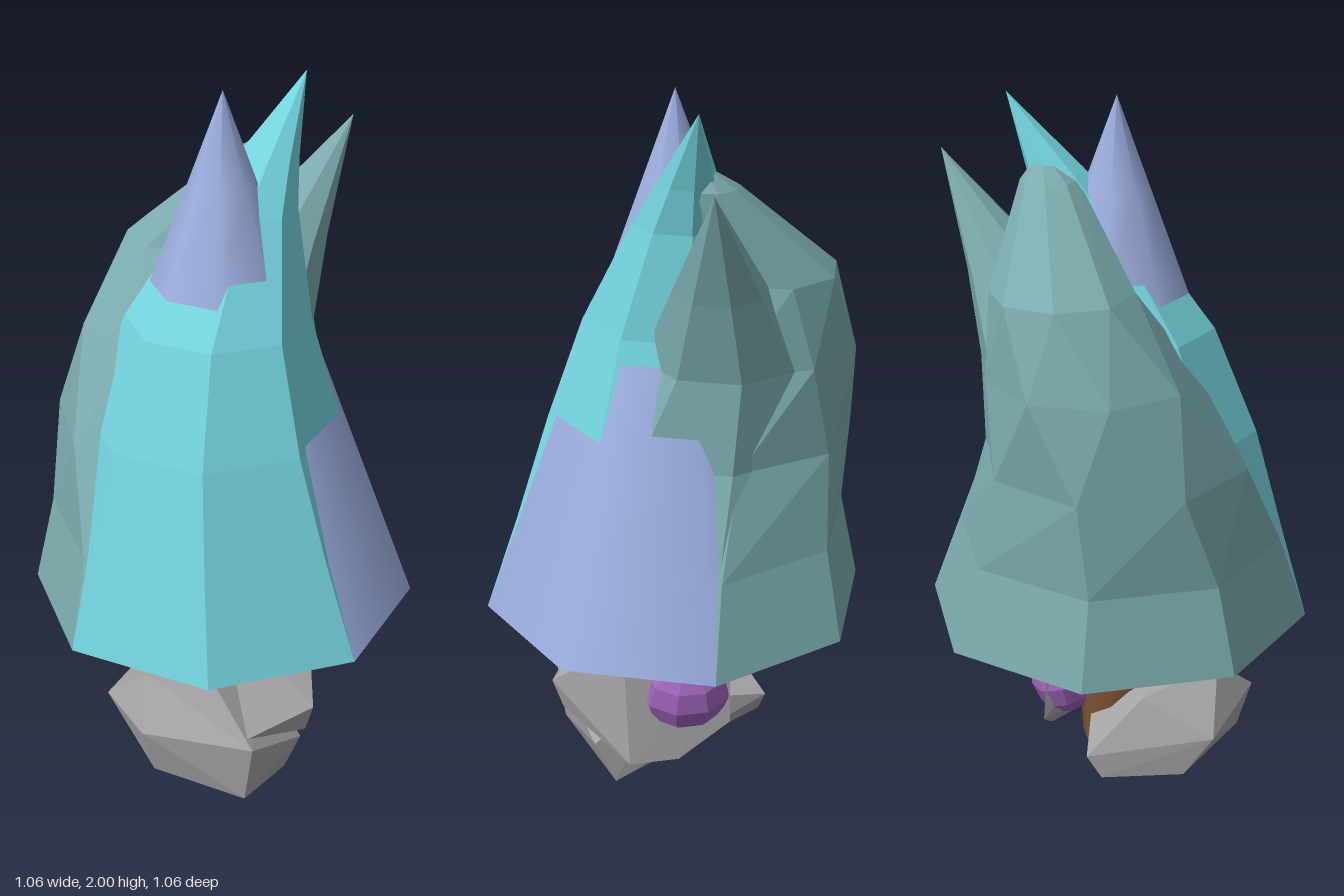
import * as THREE from 'three';
import { ConvexGeometry } from 'three/addons/geometries/ConvexGeometry.js';

const SIDES = 8;

const material = (name, color) => {
  const m = new THREE.MeshStandardMaterial({ color });
  m.name = name;
  return m;
};

// Faceted cone lofted through octagonal rings [y, radius, centreX, centreZ, twistDegrees]
function bentCone(rings, apex) {
  const pos = [];
  const tri = (...pts) => pts.forEach((p) => pos.push(...p));
  const corner = ([y, r, cx, cz, twist = 0], i) => {
    const a = (i / SIDES) * Math.PI * 2 + THREE.MathUtils.degToRad(twist);
    return [cx + r * Math.cos(a), y, cz + r * Math.sin(a)];
  };
  for (let i = 0; i < SIDES; i++) {
    for (let k = 0; k < rings.length - 1; k++) {
      const a = corner(rings[k], i), b = corner(rings[k], i + 1);
      const c = corner(rings[k + 1], i), d = corner(rings[k + 1], i + 1);
      tri(a, c, b);
      tri(b, c, d);
    }
    const top = rings[rings.length - 1];
    tri(corner(top, i), apex, corner(top, i + 1));
  }
  const g = new THREE.BufferGeometry();
  g.setAttribute('position', new THREE.Float32BufferAttribute(pos, 3));
  g.computeVertexNormals();
  return g;
}

const hull = (pts) => new ConvexGeometry(pts.map((p) => new THREE.Vector3(...p)));

export function createModel() {
  const group = new THREE.Group();
  group.name = 'stylisedTree';

  const lavender = material('lavender', 0x9dafe0);
  const cyan = material('cyan', 0x74d4de);
  const teal = material('greyTeal', 0x7cacae);
  const stone = material('stone', 0xa6a6a6);
  const violet = material('violet', 0x9c64b8);
  const bark = material('bark', 0x7d5433);

  const add = (name, geometry, mat) => {
    const mesh = new THREE.Mesh(geometry, mat);
    mesh.name = name;
    group.add(mesh);
    return mesh;
  };

  // Foliage: four cones growing from one octagonal base
  const base = [0.58, 0.53, 0, 0, 0];
  add('straightFoliage', new THREE.ConeGeometry(0.53, 1.42, SIDES, 6, true), lavender)
    .position.y = 1.29;

  add('curvedFoliage', bentCone([
    base,
    [0.84, 0.435, -0.02, 0],
    [1.12, 0.342, -0.035, 0],
    [1.4, 0.245, -0.015, 0],
    [1.68, 0.13, 0.085, 0],
    [1.8, 0.08, 0.155, 0],
  ], [0.285, 2, 0]), cyan);

  add('twistedFoliage', bentCone([
    base,
    [0.82, 0.445, -0.01, -0.035, 0],
    [1.08, 0.355, -0.02, -0.135, 6],
    [1.33, 0.27, 0.03, -0.21, 25],
    [1.55, 0.185, 0.1, -0.225, 40],
    [1.79, 0.075, 0.165, -0.055, 42],
  ], [0.19, 1.86, -0.02]), teal);

  add('leaningFoliage', bentCone([
    base,
    [0.83, 0.43, -0.005, -0.03],
    [1.08, 0.325, 0.02, -0.08],
    [1.33, 0.215, 0.13, -0.1],
    [1.55, 0.125, 0.26, -0.06],
  ], [0.46, 1.85, 0]), teal);

  const underside = add('foliageUnderside', new THREE.CircleGeometry(0.53, SIDES), teal);
  underside.rotation.x = Math.PI / 2;
  underside.position.y = 0.58;

  // Trunk
  add('trunk', new THREE.CylinderGeometry(0.12, 0.1, 0.44, 8), bark).position.y = 0.37;

  // Rocks wrapped around the trunk
  add('upperRock', hull([
    [-0.08, 0.575, 0.08], [0.1, 0.575, 0.08], [0.12, 0.575, -0.06],
    [0.165, 0.51, 0.18], [-0.11, 0.46, 0.16], [0.17, 0.54, -0.12],
    [0.2, 0.14, 0.17], [0.2, 0.14, 0.03], [0.19, 0.24, -0.12],
    [-0.17, 0.28, 0.3], [0.02, 0.33, 0.36], [0.02, 0.24, 0.33], [0.1, 0.24, 0.2],
  ]), stone);

  add('lowerRock', hull([
    [-0.38, 0.29, 0.1], [-0.29, 0.4, 0], [-0.13, 0.4, 0.05], [-0.34, 0.15, 0.1],
    [-0.18, 0.08, 0.3], [-0.17, 0.25, 0.32], [0.075, 0, 0.19], [0.08, 0.14, 0.25],
    [0.08, 0.27, 0.08], [-0.3, 0.25, -0.16], [-0.22, 0.14, -0.18],
    [0, 0.15, -0.25], [0.04, 0.22, -0.26], [-0.1, 0.36, -0.16],
  ]), stone);

  // Rounded violet cap set into the side of the upper rock
  const dome = new THREE.SphereGeometry(1, 9, 6).toNonIndexed();
  dome.rotateZ(-0.25);
  dome.scale(0.1, 0.12, 0.13);
  dome.computeVertexNormals();
  add('sideMushroom', dome, violet).position.set(0.15, 0.34, 0);

  return group;
}
